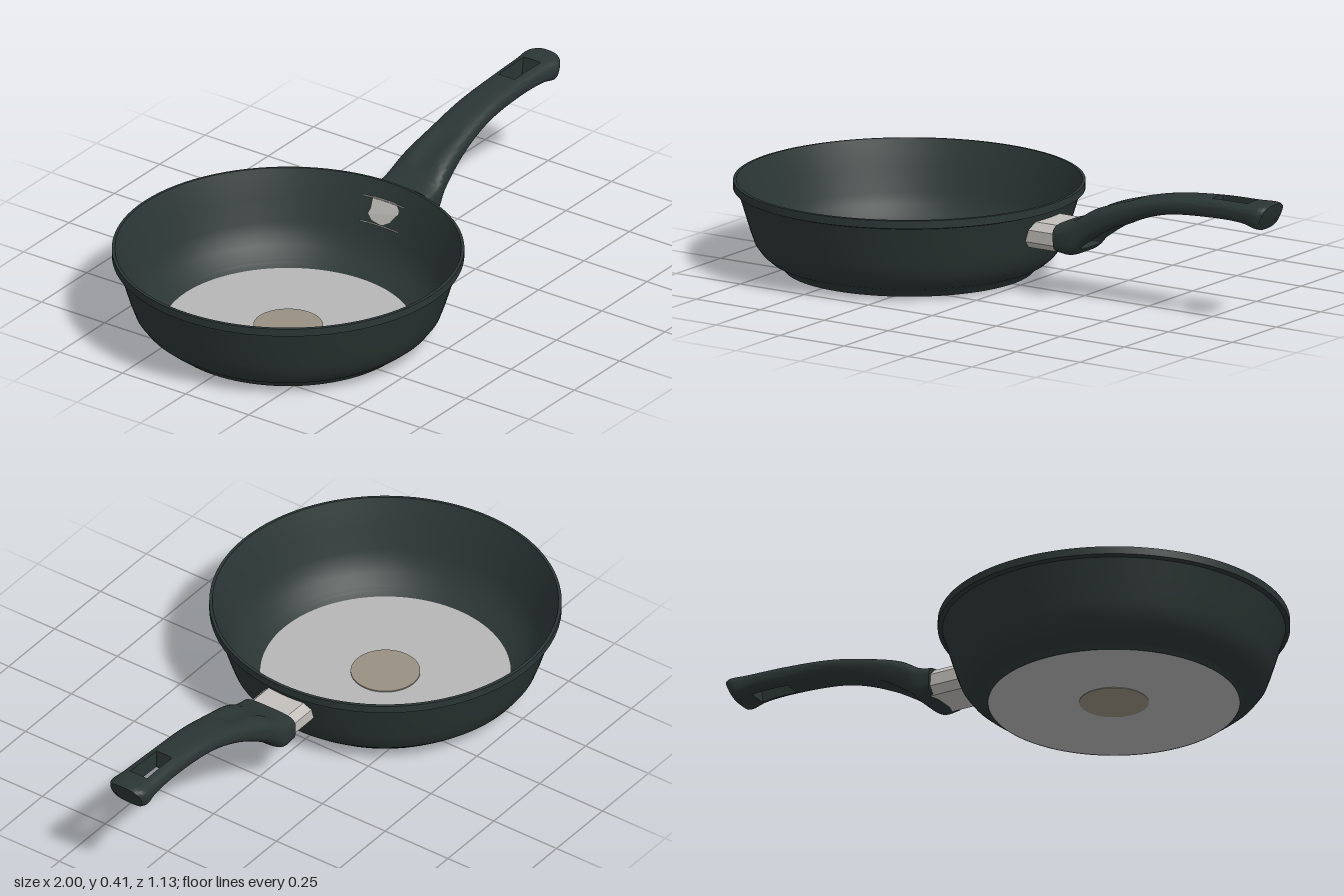
import * as THREE from 'three';
import { toCreasedNormals } from 'three/addons/utils/BufferGeometryUtils.js';

const PAN_X = -0.435;

const material = (name, color) => {
  const m = new THREE.MeshStandardMaterial({ color, side: THREE.DoubleSide });
  m.name = name;
  return m;
};

function part(group, name, geometry, mat, x = 0, y = 0, z = 0) {
  const mesh = new THREE.Mesh(geometry, mat);
  mesh.name = name;
  mesh.position.set(x, y, z);
  group.add(mesh);
  return mesh;
}

// Pan wall: outside from base to rim, then back down the inside
function panGeometry() {
  const profile = [
    [0.405, 0], [0.419, 0.021], [0.45, 0.035], [0.475, 0.056], [0.497, 0.086], [0.511, 0.125],
    [0.534, 0.2], [0.552, 0.259], [0.567, 0.264], [0.567, 0.29], [0.557, 0.291], [0.545, 0.26],
    [0.523, 0.2], [0.499, 0.125], [0.485, 0.09], [0.463, 0.06], [0.435, 0.03], [0.403, 0.008],
  ].map(([r, y]) => new THREE.Vector2(r, y));
  return toCreasedNormals(new THREE.LatheGeometry(profile, 96), 0.6);
}

// Handle: cross-sections swept along a top curve and a bottom curve
function handleGeometry() {
  // top x, top y, bottom x, bottom y, half width
  const stations = [
    [0.195, 0.245, 0.2, 0.15, 0.105],
    [0.25, 0.262, 0.25, 0.145, 0.106],
    [0.33, 0.31, 0.29, 0.18, 0.094],
    [0.465, 0.355, 0.43, 0.264, 0.075],
    [0.6, 0.385, 0.58, 0.318, 0.066],
    [0.77, 0.402, 0.77, 0.335, 0.061],
    [0.91, 0.405, 0.9, 0.333, 0.066],
    [0.975, 0.407, 0.945, 0.322, 0.071],
    [0.995, 0.404, 0.957, 0.319, 0.06],
  ];
  const top = new THREE.CatmullRomCurve3(stations.map((s) => new THREE.Vector3(s[0], s[1], s[4])));
  const bottom = new THREE.CatmullRomCurve3(stations.map((s) => new THREE.Vector3(s[2], s[3], s[4])));
  const N = 48, SUB = 8, last = (stations.length - 1) * SUB;
  const holeA = 5 * SUB, holeB = 6 * SUB, K = 3;
  const step = THREE.MathUtils.smoothstep;
  const pos = [], idx = [];

  for (let s = 0; s <= last; s++) {
    const t = s / SUB, a = top.getPoint(s / last), b = bottom.getPoint(s / last);
    const e = THREE.MathUtils.lerp(0.5, 0.7, Math.min(1, t / 3));
    for (let j = 0; j < N; j++) {
      const ang = (j / N) * Math.PI * 2, c = Math.cos(ang), n = Math.sin(ang);
      const z = a.z * Math.sign(c) * Math.abs(c) ** e;
      const h = (1 + Math.sign(n) * Math.abs(n) ** e) / 2;
      let x = b.x + (a.x - b.x) * h, y = b.y + (a.y - b.y) * h;
      // Screw recess underneath and shallow thumb dent on top
      if (n < 0) x -= 0.06 * step(t, 1.6, 1.8) * (1 - step(t, 2.7, 2.95)) * (1 - step(Math.abs(z), 0.035, 0.058));
      else y -= 0.007 * step(t, 1.2, 1.6) * (1 - step(t, 2.7, 3.1)) * (1 - step(Math.abs(z), 0.02, 0.045));
      pos.push(x, y, z);
    }
  }
  const at = (s, j) => s * N + ((j + N) % N);
  const quad = (a, b, c, d) => idx.push(a, b, d, b, c, d);
  const nearMiddle = (j) => [N / 4, (3 * N) / 4].some((m) => j >= m - K && j < m + K);

  for (let s = 0; s < last; s++) {
    const inHole = s >= holeA && s < holeB;
    for (let j = 0; j < N; j++) {
      if (inHole && nearMiddle(j)) continue;
      quad(at(s, j), at(s + 1, j), at(s + 1, j + 1), at(s, j + 1));
    }
    // Side walls of the hanging hole
    if (inHole) for (const j of [N / 4 - K, N / 4 + K]) {
      quad(at(s, j), at(s + 1, j), at(s + 1, N - j), at(s, N - j));
    }
  }
  // End walls of the hanging hole
  for (const s of [holeA, holeB]) {
    for (let j = N / 4 - K; j < N / 4 + K; j++) quad(at(s, j), at(s, j + 1), at(s, N - j - 1), at(s, N - j));
  }
  // End caps
  [0, last].forEach((s) => {
    const a = top.getPoint(s / last), b = bottom.getPoint(s / last);
    const centre = pos.length / 3;
    pos.push((a.x + b.x) / 2 + (s ? 0.008 : 0), (a.y + b.y) / 2, 0);
    for (let j = 0; j < N; j++) {
      if (s) idx.push(centre, at(s, j + 1), at(s, j));
      else idx.push(centre, at(s, j), at(s, j + 1));
    }
  });
  const g = new THREE.BufferGeometry();
  g.setAttribute('position', new THREE.Float32BufferAttribute(pos, 3));
  g.setIndex(idx);
  return toCreasedNormals(g, 0.75);
}

// Bracket: chamfered block whose inner end follows the pan wall
function bracketGeometry() {
  const w = 0.093, y0 = 0.15, y1 = 0.238, c = 0.024;
  const shape = new THREE.Shape([
    [-w + c, y0], [w - c, y0], [w, y0 + c], [w, y1 - c], [w - c, y1], [-w + c, y1], [-w, y1 - c], [-w, y0 + c],
  ].map(([x, y]) => new THREE.Vector2(x, y)));
  const g = new THREE.ExtrudeGeometry(shape, { depth: 0.21, bevelEnabled: false });
  g.rotateY(Math.PI / 2);
  const p = g.attributes.position;
  for (let i = 0; i < p.count; i++) {
    if (p.getX(i) > 0.1) continue;
    const r = 0.513 + (p.getY(i) - 0.15) * 0.3;
    p.setX(i, PAN_X + Math.sqrt(r * r - p.getZ(i) ** 2));
  }
  g.computeVertexNormals();
  return g;
}

export function createModel() {
  const dark = material('dark coating', 0x2b3634);
  const plate = material('base plate grey', 0xb6b6b6);
  const tan = material('warm grey', 0x989082);
  const steel = material('bracket steel', 0xc2bfbb);

  const model = new THREE.Group();
  model.name = 'fryingPan';

  // Pan
  part(model, 'panBody', panGeometry(), dark, PAN_X);
  part(model, 'basePlate', new THREE.CylinderGeometry(0.406, 0.406, 0.006, 96), plate, PAN_X, 0.005);
  part(model, 'baseDisc', new THREE.CylinderGeometry(0.112, 0.112, 0.012, 64), tan, PAN_X, 0.006);

  // Handle, bracket and screw
  part(model, 'handle', handleGeometry(), dark);
  part(model, 'bracket', bracketGeometry(), steel);
  const screw = new THREE.CylinderGeometry(0.014, 0.014, 0.03, 24).rotateZ(Math.PI / 2);
  part(model, 'screw', screw, steel, 0.262, 0.2);

  // Bracket edges showing as fine lines inside the pan
  for (const [y, r] of [[0.155, 0.508], [0.235, 0.534]]) {
    const line = new THREE.TorusGeometry(r, 0.002, 6, 16, 0.3).rotateZ(-0.15).rotateX(Math.PI / 2);
    part(model, 'bracketSeam', line, steel, PAN_X, y);
  }
  return model;
}
